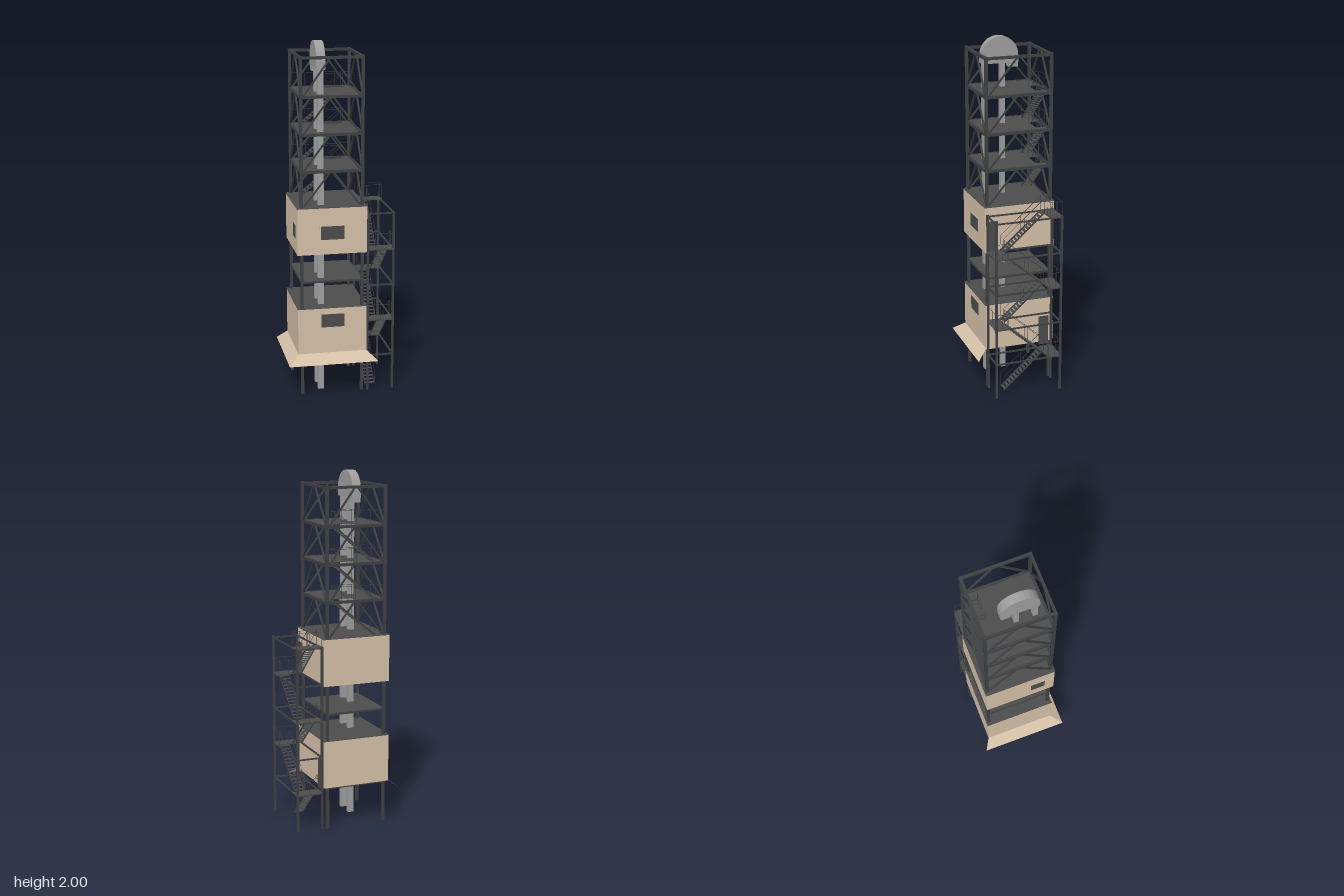
import * as THREE from 'three';

const mat = (name, color, side = THREE.FrontSide) => {
  const m = new THREE.MeshStandardMaterial({ color, side });
  m.name = name;
  return m;
};
const V = (x, y, z) => new THREE.Vector3(x, y, z);

export function createModel() {
  const model = new THREE.Group();
  model.name = 'elevatorTower';
  const steel = mat('darkSteel', 0x404143);
  const deck = mat('deckGrey', 0x4c4c4c);
  const beige = mat('beigeCladding', 0xd4c0a8, THREE.DoubleSide);
  const grey = mat('elevatorGrey', 0x9e9e9e);

  const group = (name) => {
    const g = new THREE.Group();
    g.name = name;
    model.add(g);
    return g;
  };
  const add = (parent, name, geo, m) => {
    const mesh = new THREE.Mesh(geo, m);
    mesh.name = name;
    parent.add(mesh);
    return mesh;
  };
  // Box given by its minimum and maximum on each axis
  const block = (parent, name, x0, x1, y0, y1, z0, z1, m) => {
    const b = add(parent, name, new THREE.BoxGeometry(x1 - x0, y1 - y0, z1 - z0), m);
    b.position.set((x0 + x1) / 2, (y0 + y1) / 2, (z0 + z1) / 2);
    return b;
  };
  // Steel bar between two points
  const bar = (parent, name, a, b, w, h = w) => {
    const s = add(parent, name, new THREE.BoxGeometry(w, h, a.distanceTo(b)), steel);
    s.position.copy(a).add(b).multiplyScalar(0.5);
    s.lookAt(b);
    return s;
  };
  // Handrail on posts along a line of points at deck level
  const RAIL = 0.085, THIN = 0.0018;
  const railing = (parent, pts) => {
    const up = pts.map((p) => p.clone().setY(p.y + RAIL));
    pts.forEach((p, i) => {
      bar(parent, 'railPost', p, up[i], THIN);
      if (!i) return;
      bar(parent, 'handrail', up[i - 1], up[i], THIN);
      const mid = pts[i - 1].clone().lerp(p, 0.5);
      bar(parent, 'railPost', mid, mid.clone().setY(mid.y + RAIL), THIN);
    });
  };
  // Straight flight: stringers, treads and handrails
  const flight = (parent, a, b, width) => {
    const g = new THREE.Group();
    g.name = 'stairFlight';
    parent.add(g);
    const alongX = Math.abs(b.x - a.x) > 0.01;
    const off = alongX ? V(0, 0, width / 2) : V(width / 2, 0, 0);
    for (const s of [-1, 1]) {
      const p = a.clone().addScaledVector(off, s), q = b.clone().addScaledVector(off, s);
      bar(g, 'stringer', p, q, 0.003, 0.008);
      railing(g, [p, q]);
    }
    const n = 14;
    for (let i = 0; i < n; i++) {
      const c = a.clone().lerp(b, (i + 0.5) / n);
      const t = add(g, 'tread', new THREE.BoxGeometry(alongX ? 0.018 : width, 0.003, alongX ? width : 0.018), deck);
      t.position.copy(c);
    }
  };

  // Main frame
  const X = [-0.223, 0.121], Z = [-0.204, 0.172];
  const frame = group('mainFrame');
  for (const x of X) for (const z of Z) block(frame, 'column', x - 0.008, x + 0.008, 0, 1.931, z - 0.008, z + 0.008, steel);
  const ring = (parent, y, w, xs, zs) => {
    for (const z of zs) bar(parent, 'beamAcross', V(xs[0], y, z), V(xs[1], y, z), w);
    for (const x of xs) bar(parent, 'beamDeep', V(x, y, zs[0]), V(x, y, zs[1]), w);
  };
  const levels = [1.095, 1.295, 1.501, 1.709, 1.921];
  for (const y of levels.slice(1)) ring(frame, y, 0.015, X, Z);
  for (const y of [0.235, 0.664, 0.838]) ring(frame, y, 0.01, X, Z);

  // Inverted V bracing on all four sides, set in from the columns
  const xm = (X[0] + X[1]) / 2, zm = (Z[0] + Z[1]) / 2;
  for (let i = 0; i < 4; i++) {
    const lo = levels[i] + 0.005, hi = levels[i + 1] - 0.006;
    for (const z of Z) for (const s of [-1, 1])
      bar(frame, 'brace', V(xm + s * 0.158, lo, z), V(xm + s * 0.012, hi, z), 0.009);
    for (const x of X) for (const s of [-1, 1])
      bar(frame, 'brace', V(x, lo, zm + s * 0.176), V(x, hi, zm + s * 0.012), 0.009);
  }

  // Upper decks, each with a stairwell opening
  const decks = group('upperDecks');
  const rect = (S, x0, x1, z0, z1) => {
    const s = new S();
    s.moveTo(x0, -z0).lineTo(x1, -z0).lineTo(x1, -z1).lineTo(x0, -z1).closePath();
    return s;
  };
  for (let i = 1; i < 4; i++) {
    const y = levels[i];
    const shape = rect(THREE.Shape, X[0], X[1], Z[0], Z[1]);
    shape.holes.push(rect(THREE.Path, -0.053, 0.07, -0.196, -0.136));
    const d = add(decks, 'deck', new THREE.ExtrudeGeometry(shape, { depth: 0.006, bevelEnabled: false }), deck);
    d.rotation.x = -Math.PI / 2;
    d.position.y = y;
    flight(decks, V(-0.17, levels[i - 1], -0.166), V(0.07, y, -0.166), 0.058);
    railing(decks, [V(-0.053, y, -0.196), V(-0.053, y, -0.136), V(0.07, y, -0.136)]);
    railing(decks, [V(X[0], y, -0.2), V(xm, y, -0.2), V(X[1], y, -0.2)]);
  }
  block(decks, 'middleDeck', X[0], X[1], 0.664, 0.671, Z[0], Z[1], deck);

  // Clad rooms: four thin walls, floor and roof
  const W = { x0: -0.249, x1: 0.145, z0: -0.218, z1: 0.19 }, t = 0.005;
  const room = (name, y0, y1) => {
    const g = group(name);
    block(g, 'frontWall', W.x0, W.x1, y0, y1, W.z1 - t, W.z1, beige);
    block(g, 'backWall', W.x0, W.x1, y0, y1, W.z0, W.z0 + t, beige);
    block(g, 'leftWall', W.x1 - t, W.x1, y0, y1, W.z0 + t, W.z1 - t, beige);
    block(g, 'rightWall', W.x0, W.x0 + t, y0, y1, W.z0 + t, W.z1 - t, beige);
    block(g, 'floor', W.x0 + t, W.x1 - t, y0 + 0.001, y0 + 0.008, W.z0 + t, W.z1 - t, grey);
    block(g, 'roof', W.x0 - 0.002, W.x1 + 0.002, y1, y1 + 0.003, W.z0 - 0.003, W.z1 + 0.003, deck);
    return g;
  };
  const lower = room('lowerRoom', 0.24, 0.512);
  const upper = room('upperRoom', 0.828, 1.093);

  // Windows with a slim cladding-coloured surround, and doors
  const frontWindow = (g, y) => {
    block(g, 'windowSurround', -0.124, 0.022, y - 0.046, y + 0.046, W.z1, W.z1 + 0.001, beige);
    block(g, 'frontWindow', -0.117, 0.015, y - 0.038, y + 0.038, W.z1, W.z1 + 0.003, deck);
  };
  frontWindow(lower, 0.438);
  frontWindow(upper, 0.951);
  block(upper, 'windowSurround', W.x0 - 0.001, W.x0, 0.905, 0.997, 0.04, 0.142, beige);
  block(upper, 'sideWindow', W.x0 - 0.003, W.x0, 0.913, 0.989, 0.05, 0.132, deck);
  block(lower, 'door', W.x1, W.x1 + 0.005, 0.225, 0.4, -0.19, -0.132, deck);
  block(upper, 'door', W.x1, W.x1 + 0.005, 0.838, 1.012, 0.117, 0.18, deck);

  // Sloping canopy on the front and right sides
  const hi = 0.247, lo = 0.197;
  const a = [W.x1, hi, W.z1], b = [W.x0, hi, W.z1], c = [W.x0, hi, W.z0];
  const A = [0.203, lo, 0.253], B = [-0.308, lo, 0.253], C = [-0.308, lo, -0.255];
  const canopy = new THREE.BufferGeometry();
  canopy.setAttribute('position', new THREE.Float32BufferAttribute(
    [b, B, A, b, A, a, c, C, B, c, B, b].flat(), 3));
  canopy.computeVertexNormals();
  add(model, 'canopy', canopy, beige);

  // Bucket elevator: two legs and a faceted round head
  const elevator = group('bucketElevator');
  for (const z of [0.108, 0.004]) block(elevator, 'leg', -0.122, -0.088, 0, 1.87, z - 0.013, z + 0.013, grey);
  const head = new THREE.Shape();
  head.moveTo(-0.106, 1.85).lineTo(0.106, 1.85).lineTo(0.106, 1.894);
  head.absarc(0, 1.894, 0.106, 0, Math.PI, false);
  head.closePath();
  const h = add(elevator, 'head', new THREE.ExtrudeGeometry(head, { depth: 0.05, bevelEnabled: false, curveSegments: 6 }), grey);
  h.rotation.y = Math.PI / 2;
  h.position.set(-0.129, 0, 0.022);
  block(elevator, 'outlet', -0.127, -0.081, 1.825, 1.852, -0.082, -0.03, grey);

  // Outside stair tower
  const stairs = group('stairTower');
  const SX = [0.153, 0.3], SZ = [-0.205, 0.179];
  for (const x of SX) for (const z of SZ) block(stairs, 'post', x - 0.006, x + 0.006, 0, 1.055, z - 0.006, z + 0.006, steel);
  const ys = [0, 0.215, 0.425, 0.635, 0.842, 1.052];
  for (let i = 0; i < 5; i++) {
    const rising = i % 2 === 0;
    const x = rising ? 0.184 : 0.263, y = ys[i + 1];
    const z0 = rising ? 0.105 : -0.13, z1 = rising ? -0.135 : 0.11;
    flight(stairs, V(x, ys[i], z0), V(x, y, z1), 0.056);
    ring(stairs, y - 0.006, 0.008, SX, SZ);
    // Landing at the end of each flight
    const end = rising ? SZ[0] - 0.006 : SZ[1] + 0.006;
    block(stairs, 'landing', 0.148, 0.306, y - 0.006, y, Math.min(z1, end), Math.max(z1, end), deck);
    const edge = rising ? SZ[0] : SZ[1];
    railing(stairs, [V(0.155, y, edge), V(0.3, y, edge), V(0.3, y, z1)]);
    if (i === 4) railing(stairs, [V(0.3, y, z1), V(0.214, y, z1)]);
  }
  return model;
}
